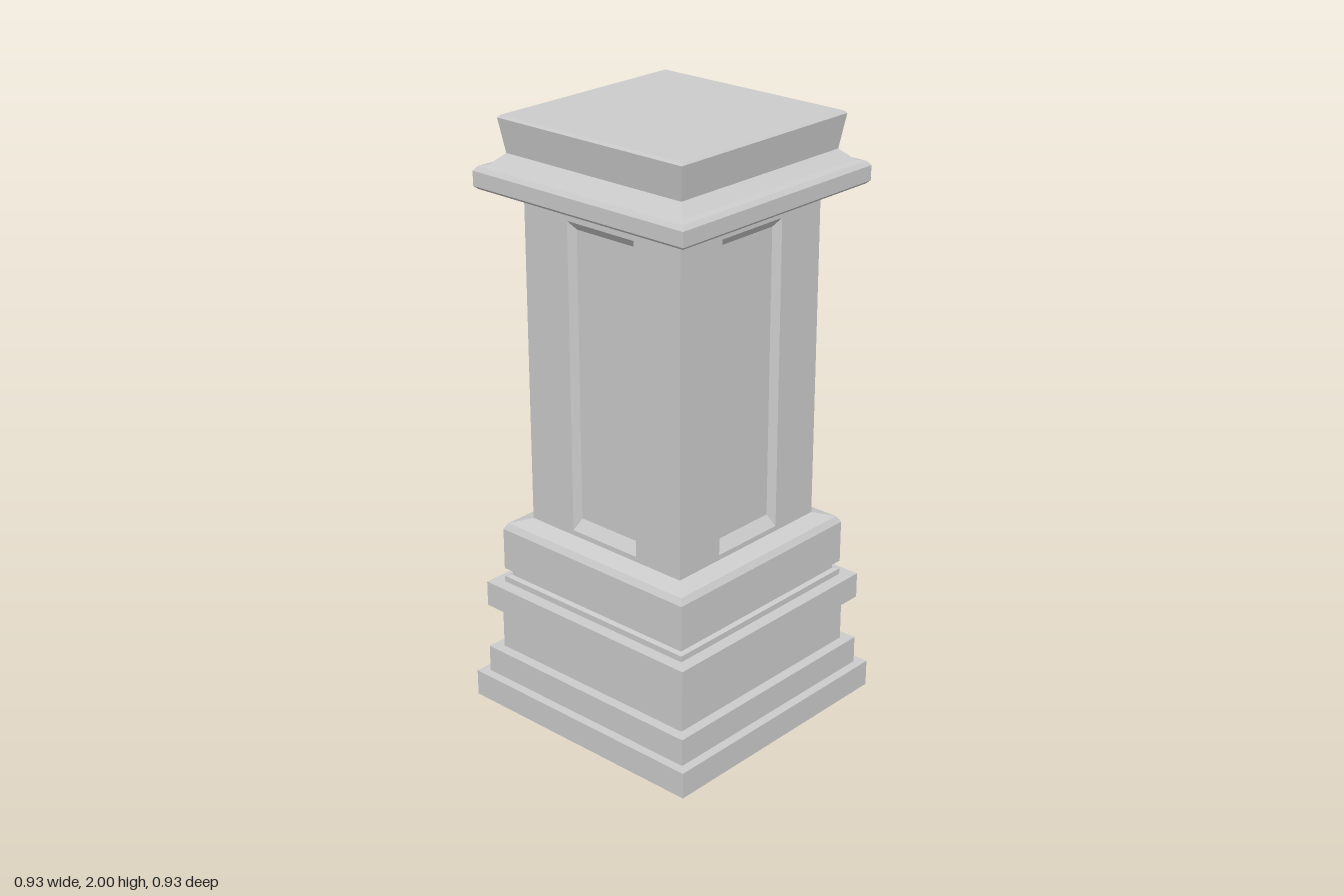
import * as THREE from 'three';

const material = new THREE.MeshStandardMaterial({ color: 0xcccccc, flatShading: true });

// Square moulding swept round the pillar from [half width, height] points
function squareMoulding(name, profile) {
  const points = profile.map(([half, y]) => new THREE.Vector2(half * Math.SQRT2, y));
  const mesh = new THREE.Mesh(new THREE.LatheGeometry(points, 4, Math.PI / 4), material);
  mesh.name = name;
  return mesh;
}

// One shaft face: nested rectangles [half width, bottom, top, z] bridged together
function panelledFace(loops) {
  const positions = [];
  const indices = [];
  for (const [w, y0, y1, z] of loops) {
    positions.push(-w, y0, z, w, y0, z, w, y1, z, -w, y1, z);
  }
  for (let l = 0; l < loops.length - 1; l++) {
    for (let i = 0; i < 4; i++) {
      const a = l * 4 + i;
      const b = l * 4 + (i + 1) % 4;
      indices.push(a, b, b + 4, a, b + 4, a + 4);
    }
  }
  // recessed panel floor
  const f = (loops.length - 1) * 4;
  indices.push(f, f + 1, f + 2, f, f + 2, f + 3);
  const geometry = new THREE.BufferGeometry();
  geometry.setAttribute('position', new THREE.Float32BufferAttribute(positions, 3));
  geometry.setIndex(indices);
  const flat = geometry.toNonIndexed();
  flat.computeVertexNormals();
  return flat;
}

export function createModel() {
  const group = new THREE.Group();
  group.name = 'pedestal';

  // Stepped base
  group.add(squareMoulding('base', [
    [0, 0], [0.463, 0], [0.463, 0.09], [0.432, 0.09], [0.432, 0.183],
    [0.397, 0.183], [0.397, 0.338], [0.432, 0.338], [0.432, 0.425],
    [0.39, 0.425], [0.39, 0.445], [0.372, 0.448], [0.372, 0.47],
    [0.39, 0.474], [0.39, 0.617], [0.378, 0.638], [0.32, 0.655], [0, 0.655],
  ]));

  // Shaft with a recessed panel on each side
  const shaft = new THREE.Group();
  shaft.name = 'shaft';
  const face = panelledFace([
    [0.32, 0.655, 1.73, 0.32],
    [0.137, 0.672, 1.707, 0.32],
    [0.122, 0.71, 1.677, 0.294],
  ]);
  for (let i = 0; i < 4; i++) {
    const side = new THREE.Mesh(face, material);
    side.name = 'panelledSide';
    side.rotation.y = i * Math.PI / 2;
    shaft.add(side);
  }
  group.add(shaft);

  // Cornice and flared top block
  group.add(squareMoulding('capital', [
    [0, 1.73], [0.32, 1.73], [0.355, 1.752], [0.355, 1.77], [0.417, 1.77],
    [0.428, 1.78], [0.428, 1.828], [0.417, 1.842], [0.393, 1.846],
    [0.355, 1.882], [0.372, 1.992], [0.365, 2], [0, 2],
  ]));

  return group;
}
